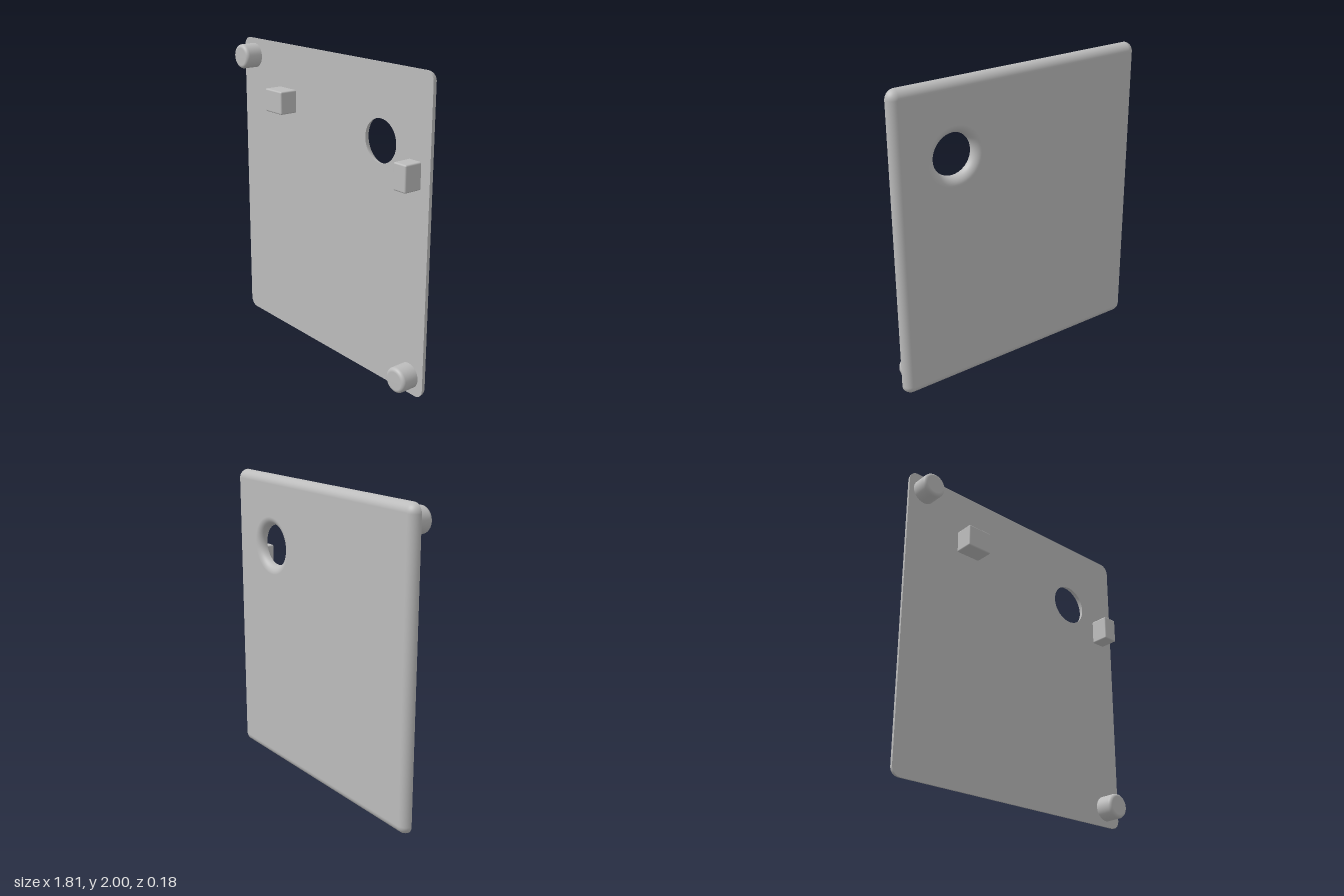
import * as THREE from 'three';
import { mergeGeometries } from 'three/addons/utils/BufferGeometryUtils.js';
import { RoundedBoxGeometry } from 'three/addons/geometries/RoundedBoxGeometry.js';

const HALF_W = 0.905, HEIGHT = 2, CORNER = 0.06;
const FRONT = -0.031, BACK = -0.088, FILLET = FRONT - BACK, TIP = 0.088;
const HOLE = { x: 0.49, y: 1.535, r: 0.135 };

// Outline entries: a point and its normal pointing out of the solid
function plateOutline() {
  const out = [], n = 10, cx = HALF_W - CORNER, cy = HEIGHT / 2 - CORNER;
  [[1, 1], [-1, 1], [-1, -1], [1, -1]].forEach(([sx, sy], q) => {
    for (let i = 0; i <= n; i++) {
      const a = (q + i / n) * Math.PI / 2, nx = Math.cos(a), ny = Math.sin(a);
      out.push({ x: sx * cx + CORNER * nx, y: HEIGHT / 2 + sy * cy + CORNER * ny, nx, ny });
    }
  });
  return out;
}

function holeOutline() {
  return Array.from({ length: 64 }, (_, i) => {
    const a = -i / 64 * Math.PI * 2, c = Math.cos(a), s = Math.sin(a);
    return { x: HOLE.x + HOLE.r * c, y: HOLE.y + HOLE.r * s, nx: -c, ny: -s };
  });
}

const inset = (outline, d) => outline.map(p => new THREE.Vector2(p.x - p.nx * d, p.y - p.ny * d));

// Quarter-round wall running from the front face to the back face
function filletWall(outline) {
  const steps = 10, n = outline.length, pos = [], nor = [], uv = [], idx = [];
  for (let i = 0; i <= steps; i++) {
    const a = i / steps * Math.PI / 2, c = Math.cos(a), s = Math.sin(a);
    inset(outline, FILLET * (1 - c)).forEach((p, j) => {
      pos.push(p.x, p.y, FRONT - FILLET * s);
      nor.push(outline[j].nx * c, outline[j].ny * c, -s);
      uv.push(j / n, i / steps);
      if (i === steps) return;
      const k = (j + 1) % n, lo = i * n, hi = lo + n;
      idx.push(hi + j, hi + k, lo + k, hi + j, lo + k, lo + j);
    });
  }
  const g = new THREE.BufferGeometry();
  g.setAttribute('position', new THREE.Float32BufferAttribute(pos, 3));
  g.setAttribute('normal', new THREE.Float32BufferAttribute(nor, 3));
  g.setAttribute('uv', new THREE.Float32BufferAttribute(uv, 2));
  g.setIndex(idx);
  return g;
}

// Flat face with the hole cut out
function flatFace(outer, hole, d, z, facesBack) {
  const shape = new THREE.Shape(inset(outer, d));
  shape.holes.push(new THREE.Path(inset(hole, d)));
  const g = new THREE.ShapeGeometry(shape).translate(0, 0, z);
  if (facesBack) {
    g.setIndex(Array.from(g.index.array).reverse());
    const nor = g.attributes.normal;
    for (let i = 0; i < nor.count; i++) nor.setXYZ(i, 0, 0, -1);
  }
  return g;
}

// Round peg with a softened front rim
function roundPegGeometry(radius, length, rim) {
  const profile = [new THREE.Vector2(radius, 0)];
  for (let i = 0; i <= 8; i++) {
    const a = i / 8 * Math.PI / 2;
    profile.push(new THREE.Vector2(radius - rim + rim * Math.cos(a), length - rim + rim * Math.sin(a)));
  }
  profile.push(new THREE.Vector2(0, length));
  return new THREE.LatheGeometry(profile, 48).rotateX(Math.PI / 2);
}

export function createModel() {
  const model = new THREE.Group();
  model.name = 'coverPanel';
  const grey = new THREE.MeshStandardMaterial({ color: 0xbcbcbc });
  grey.name = 'plain grey';
  const add = (name, geometry, x = 0, y = 0, z = 0) => {
    const mesh = new THREE.Mesh(geometry, grey);
    mesh.name = name;
    mesh.position.set(x, y, z);
    model.add(mesh);
  };

  // Panel: sharp front edge, rounded back edge and hole rim
  const outer = plateOutline(), hole = holeOutline();
  add('panel', mergeGeometries([
    flatFace(outer, hole, 0, FRONT, false),
    flatFace(outer, hole, FILLET, BACK, true),
    filletWall(outer),
    filletWall(hole),
  ]));

  // Round pegs in opposite corners
  const base = FRONT - 0.01;
  const peg = roundPegGeometry(0.081, TIP - base, 0.024);
  add('upperRoundPeg', peg, -0.79, 1.885, base);
  add('lowerRoundPeg', peg, 0.785, 0.12, base);

  // Rectangular pegs, rooted in the panel
  const root = FRONT - 0.03, depth = TIP - root;
  const block = (name, x, y, w, h) =>
    add(name, new RoundedBoxGeometry(w, h, depth, 3, 0.01), x, y, root + depth / 2);
  block('wideBlock', -0.421, 1.637, 0.176, 0.15);
  block('tallBlock', 0.781, 1.397, 0.103, 0.166);

  return model;
}
